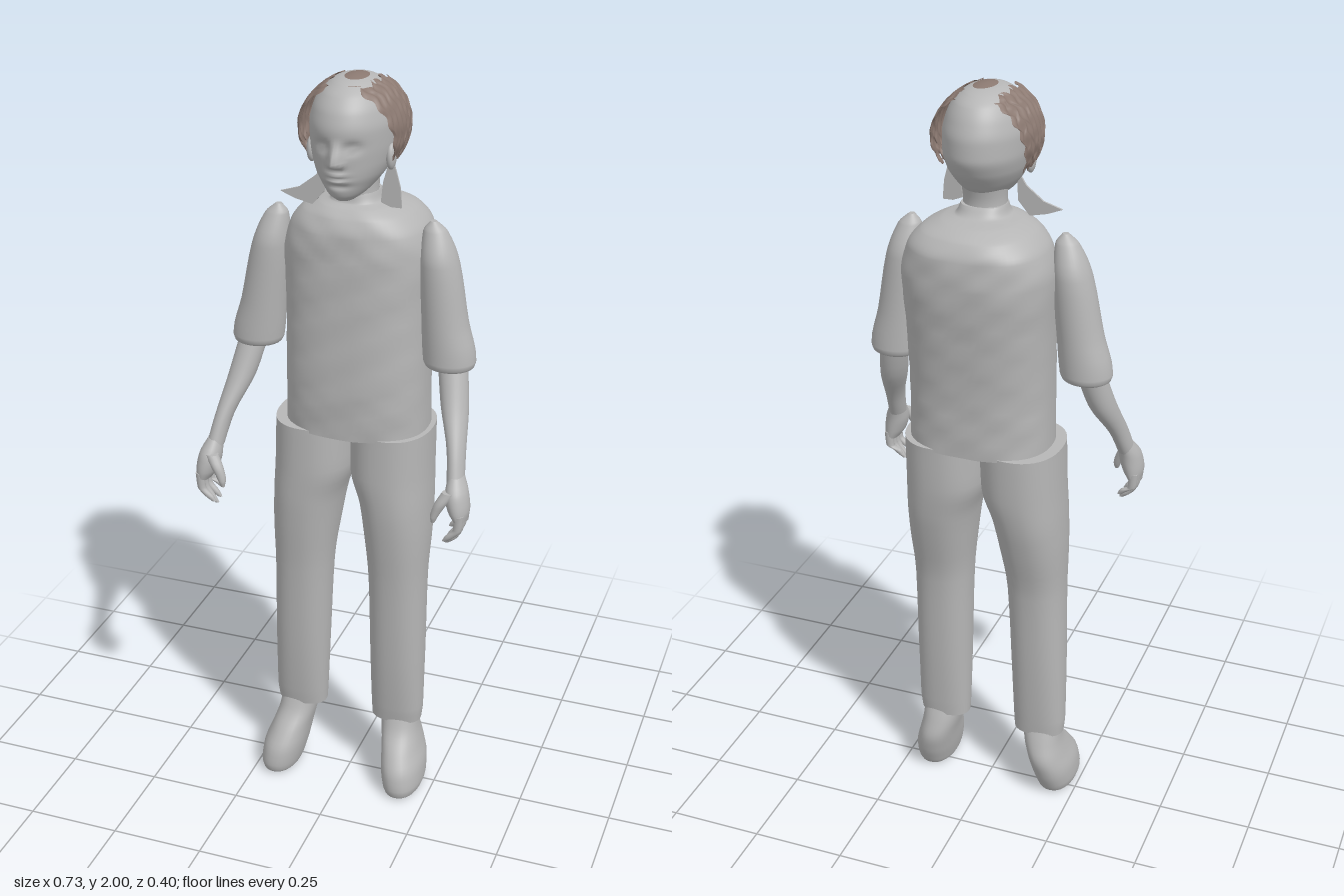
import * as THREE from 'three';

const grey = new THREE.MeshStandardMaterial({ color: 0xb6b6b6 });
grey.name = 'plain grey';
const brown = new THREE.MeshStandardMaterial({ color: 0x8b7971, side: THREE.DoubleSide });
brown.name = 'hair brown';

// Monotone cubic through the ring table, so outlines stay smooth without overshoot
function refine(rings, steps) {
  const slope = (i, k) => (rings[i + 1][k] - rings[i][k]) / (rings[i + 1][0] - rings[i][0]);
  const last = rings.length - 1;
  const tangent = (i, k) => {
    if (i === 0) return slope(0, k);
    if (i === last) return slope(last - 1, k);
    const a = slope(i - 1, k), b = slope(i, k);
    return a * b <= 0 ? 0 : (2 * a * b) / (a + b);
  };
  const out = [];
  for (let i = 0; i < last; i++) {
    const h = rings[i + 1][0] - rings[i][0];
    for (let j = 0; j < steps; j++) {
      const t = j / steps, t2 = t * t, t3 = t2 * t;
      out.push(rings[i].map((p, k) => k === 0 ? p + h * t
        : p * (2 * t3 - 3 * t2 + 1) + rings[i + 1][k] * (3 * t2 - 2 * t3)
        + h * (tangent(i, k) * (t3 - 2 * t2 + t) + tangent(i + 1, k) * (t3 - t2))));
    }
  }
  out.push(rings[last]);
  return out;
}

// Closed body from horizontal sections, top to bottom: [y, xMin, xMax, zFront, zBack]
function loft(name, table, { side = 1, n = 32, steps = 4, power = 2, lean = () => 0, shape } = {}) {
  const rings = refine(table, steps), pos = [], index = [];
  const tri = (a, b, c) => (side > 0 ? index.push(a, b, c) : index.push(a, c, b));
  const round = (v) => Math.sign(v) * Math.abs(v) ** (2 / power);
  const addRing = ([y, x0, x1, zf, zb]) => {
    for (let i = 0; i < n; i++) {
      const t = (i / n) * Math.PI * 2;
      const p = new THREE.Vector3((x0 + x1) / 2 + (x1 - x0) / 2 * round(Math.sin(t)), y,
        (zf + zb) / 2 + (zf - zb) / 2 * round(Math.cos(t)));
      if (shape) shape(p);
      pos.push(p.x * side + lean(y), p.y, p.z);
    }
  };
  rings.forEach(addRing);
  for (let j = 0; j < rings.length - 1; j++) {
    for (let i = 0; i < n; i++) {
      const a = j * n + i, b = j * n + (i + 1) % n;
      tri(a, a + n, b);
      tri(b, a + n, b + n);
    }
  }
  // End caps use their own corners to keep the rims sharp
  [rings[0], rings[rings.length - 1]].forEach((r, end) => {
    const start = pos.length / 3;
    addRing(r);
    pos.push((r[1] + r[2]) / 2 * side + lean(r[0]), r[0], (r[3] + r[4]) / 2);
    for (let i = 0; i < n; i++) {
      const a = start + i, b = start + (i + 1) % n;
      end ? tri(start + n, b, a) : tri(start + n, a, b);
    }
  });
  const g = new THREE.BufferGeometry();
  g.setAttribute('position', new THREE.Float32BufferAttribute(pos, 3));
  g.setIndex(index);
  g.computeVertexNormals();
  return named(name, g, grey);
}

function named(name, geometry, material) {
  const m = new THREE.Mesh(geometry, material);
  m.name = name;
  return m;
}

const bell = (v, c, w) => Math.exp(-(((v - c) / w) ** 2));
const CX = 0.015; // the head and torso sit slightly to the left
const centred = (rows) => rows.map(([y, w, f, b]) => [y, CX - w, CX + w, f, b]);

// Nose, eye sockets, eyelids, lips and chin
function faceShape(p) {
  if (p.z < 0.05) return;
  const dx = p.x - CX, ax = Math.abs(dx), y = p.y;
  const bridge = THREE.MathUtils.smoothstep(y, 1.802, 1.818) * (1 - THREE.MathUtils.smoothstep(y, 1.82, 1.88));
  p.z += 0.031 * bridge * bell(dx, 0, 0.014);
  p.z += 0.006 * bell(ax, 0.014, 0.007) * bell(y, 1.815, 0.008);
  p.z -= 0.013 * bell(ax, 0.036, 0.02) * bell(y, 1.855, 0.014);
  p.z += 0.007 * bell(ax, 0.037, 0.011) * bell(y, 1.853, 0.007);
  p.z += 0.008 * bell(dx, 0, 0.022) * (bell(y, 1.789, 0.006) + bell(y, 1.774, 0.006));
  p.z -= 0.004 * bell(dx, 0, 0.025) * bell(y, 1.781, 0.004);
  p.z -= 0.006 * bell(dx, 0, 0.03) * bell(y, 1.76, 0.007);
}

function makeHead() {
  const head = new THREE.Group();
  head.name = 'head';
  head.add(loft('skullAndFace', centred([
    [1.998, 0.006, 0.02, -0.005], [1.994, 0.035, 0.06, -0.04], [1.985, 0.055, 0.085, -0.07],
    [1.965, 0.077, 0.115, -0.1], [1.93, 0.095, 0.14, -0.121], [1.89, 0.103, 0.15, -0.133],
    [1.85, 0.102, 0.147, -0.134], [1.81, 0.095, 0.143, -0.118], [1.78, 0.083, 0.141, -0.095],
    [1.755, 0.066, 0.136, -0.07], [1.733, 0.046, 0.128, -0.02], [1.717, 0.024, 0.108, 0.03],
  ]), { n: 80, steps: 6, shape: faceShape }));
  head.add(loft('neck', centred([[1.79, 0.06, 0.05, -0.08], [1.72, 0.054, 0.045, -0.062], [1.66, 0.065, 0.05, -0.075]])));

  for (const s of [-1, 1]) {
    const ear = named('ear', new THREE.SphereGeometry(1, 16, 12), grey);
    ear.scale.set(0.012, 0.032, 0.02);
    ear.position.set(CX + s * 0.1, 1.815, 0.035);
    head.add(ear);

    // Side hair: a curved shell with ragged edges
    const g = new THREE.PlaneGeometry(1, 1, 40, 24), p = g.attributes.position;
    for (let i = 0; i < p.count; i++) {
      const u = p.getX(i) + 0.5, v = p.getY(i) + 0.5;
      const front = 0.1 - 0.045 * v * v + 0.005 * Math.sin(v * 25);
      const back = -0.08 + 0.05 * v ** 3 + 0.006 * Math.sin(v * 31);
      const z = back + (front - back) * u;
      const a = 0.42 + 0.08 * Math.sin(u * 19) * (1 - v) + v * (1.68 + 0.1 * Math.sin(u * 23));
      const r = 0.126 * Math.sqrt(1 - ((z - 0.01) / 0.21) ** 2) + 0.0025 * Math.sin(u * 42);
      p.setXYZ(i, CX + s * r * Math.sin(a), 1.873 + r * Math.cos(a), z);
    }
    g.computeVertexNormals();
    head.add(named('sideHair', g, brown));
  }

  // Oval patch on the crown
  const dome = [1, 0.8, 0.6, 0.4, 0.2, 0].map((r) => new THREE.Vector2(r, -0.015 * r * r));
  const crown = named('crownHair', new THREE.LatheGeometry(dome, 40), brown);
  crown.scale.set(0.05, 1, 0.075);
  crown.position.set(0.018, 2, 0.01);
  head.add(crown);

  // Loose flat tufts beside the neck
  const tufts = [
    [[-0.05, 1.79], [-0.075, 1.75], [-0.12, 1.715], [-0.168, 1.7], [-0.13, 1.685], [-0.085, 1.675], [-0.055, 1.71]],
    [[0.115, 1.82], [0.095, 1.75], [0.09, 1.7], [0.115, 1.69], [0.142, 1.69], [0.138, 1.74], [0.13, 1.77]],
  ];
  for (const pts of tufts) {
    const shape = new THREE.Shape(pts.map(([x, y]) => new THREE.Vector2(x, y)));
    const tuft = named('hairTuft', new THREE.ExtrudeGeometry(shape, { depth: 0.006, bevelEnabled: false }), grey);
    tuft.position.z = 0.03;
    head.add(tuft);
  }
  return head;
}

function makeArm(side) {
  const arm = new THREE.Group();
  arm.name = side > 0 ? 'leftArm' : 'rightArm';
  const opt = { side, lean: (y) => Math.max(0, y - 1.05) * 0.02 };
  arm.add(loft('sleeve', [
    [1.655, 0.192, 0.208, 0.008, -0.01], [1.63, 0.175, 0.235, 0.025, -0.03], [1.55, 0.17, 0.268, 0.052, -0.058],
    [1.4, 0.18, 0.298, 0.054, -0.061], [1.3, 0.188, 0.322, 0.056, -0.064], [1.285, 0.194, 0.318, 0.052, -0.06],
    [1.276, 0.21, 0.304, 0.035, -0.045]], opt));
  arm.add(loft('forearm', [
    [1.31, 0.225, 0.3, 0.032, -0.04], [1.2, 0.25, 0.32, 0.078, -0.008], [1.1, 0.289, 0.335, 0.132, 0.06],
    [1.03, 0.302, 0.345, 0.162, 0.1]], opt));
  arm.add(loft('palm', [
    [1.05, 0.304, 0.342, 0.155, 0.096], [1.01, 0.302, 0.36, 0.186, 0.105], [0.97, 0.312, 0.366, 0.193, 0.109],
    [0.945, 0.328, 0.362, 0.19, 0.112]], opt));
  // Four curled fingers side by side, then the thumb
  [0.121, 0.141, 0.161, 0.181].forEach((z, i) => {
    const tip = [0.9, 0.882, 0.875, 0.888][i];
    arm.add(loft('finger', [
      [0.965, 0.335, 0.36, z + 0.011, z - 0.011], [0.925, 0.334, 0.356, z + 0.01, z - 0.01],
      [tip + 0.015, 0.314, 0.338, z + 0.009, z - 0.009], [tip, 0.306, 0.318, z + 0.004, z - 0.004]],
    { side, n: 12 }));
  });
  arm.add(loft('thumb', [
    [1.02, 0.3, 0.335, 0.185, 0.155], [0.985, 0.282, 0.312, 0.196, 0.166], [0.955, 0.275, 0.295, 0.196, 0.174],
    [0.94, 0.278, 0.288, 0.192, 0.182]], { side, n: 14 }));
  return arm;
}

function makeLeg(side) {
  const leg = new THREE.Group();
  leg.name = side > 0 ? 'leftLeg' : 'rightLeg';
  const lean = (y) => (y - 0.6) * 0.014;
  leg.add(loft('trouserLeg', [
    [1.092, -0.004, 0.208, 0.1, -0.158], [0.97, -0.002, 0.21, 0.1, -0.152], [0.88, 0.025, 0.213, 0.097, -0.14],
    [0.8, 0.038, 0.214, 0.09, -0.122], [0.65, 0.055, 0.21, 0.073, -0.088], [0.4, 0.063, 0.212, 0.056, -0.074],
    [0.24, 0.068, 0.212, 0.04, -0.064], [0.195, 0.07, 0.208, 0.033, -0.06]], { side, lean, n: 40, power: 2.3 }));
  leg.add(loft('shoe', [
    [0.22, 0.095, 0.198, 0.028, -0.055], [0.17, 0.1, 0.203, 0.05, -0.075], [0.12, 0.11, 0.216, 0.092, -0.088],
    [0.07, 0.117, 0.232, 0.122, -0.078], [0.03, 0.125, 0.235, 0.128, -0.062], [0.008, 0.132, 0.23, 0.123, -0.05],
    [0, 0.142, 0.222, 0.11, -0.04]], { side, lean, power: 2.2 }));
  return leg;
}

export function createModel() {
  const model = new THREE.Group();
  model.name = 'standingPerson';
  // Shirt with faint creases
  model.add(loft('shirt', centred([
    [1.715, 0.056, 0.042, -0.066], [1.692, 0.066, 0.05, -0.085], [1.682, 0.1, 0.07, -0.135],
    [1.66, 0.143, 0.09, -0.175], [1.62, 0.175, 0.104, -0.197], [1.55, 0.192, 0.108, -0.2],
    [1.4, 0.186, 0.112, -0.185], [1.22, 0.185, 0.116, -0.168], [1.085, 0.187, 0.11, -0.165],
  ]), {
    n: 64, steps: 6, power: 2.4,
    shape: (p) => { p.z += 0.002 * Math.sin(p.y * 70 + p.x * 15) * Math.sin(p.x * 45 + p.y * 12); },
  }));
  model.add(makeHead());
  for (const side of [-1, 1]) model.add(makeArm(side), makeLeg(side));
  return model;
}
